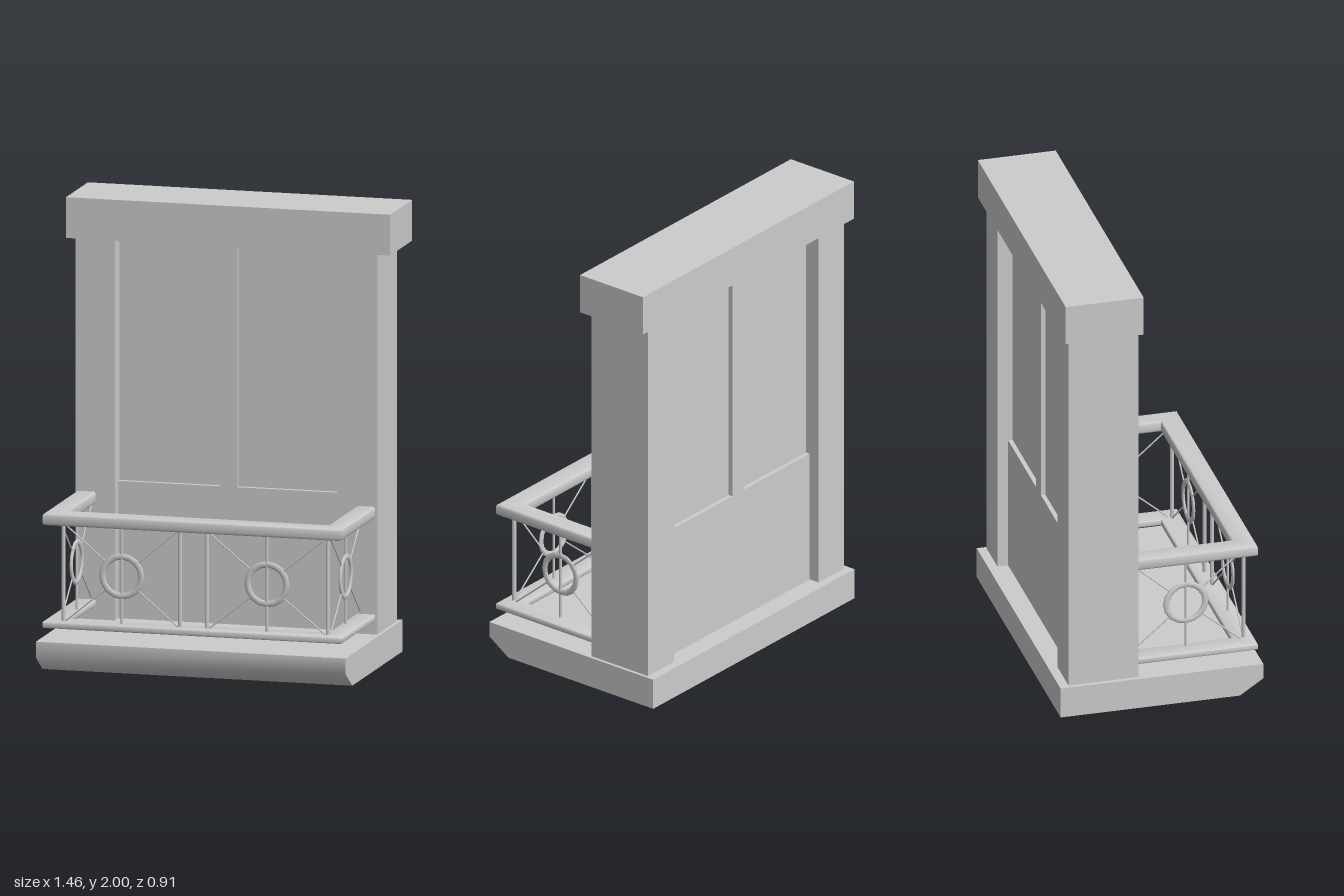
import * as THREE from 'three';
import { toCreasedNormals } from 'three/addons/utils/BufferGeometryUtils.js';

const material = new THREE.MeshStandardMaterial({ color: 0xcccccc });

function add(parent, name, geometry) {
  const mesh = new THREE.Mesh(geometry, material);
  mesh.name = name;
  parent.add(mesh);
  return mesh;
}

// Box given by its limits on each axis
function block(parent, name, x0, x1, y0, y1, z0, z1) {
  const mesh = add(parent, name, new THREE.BoxGeometry(x1 - x0, y1 - y0, z1 - z0));
  mesh.position.set((x0 + x1) / 2, (y0 + y1) / 2, (z0 + z1) / 2);
  return mesh;
}

// Round bar between two points
function bar(parent, name, a, b, radius) {
  const from = new THREE.Vector3(...a), to = new THREE.Vector3(...b);
  const dir = to.clone().sub(from);
  const mesh = add(parent, name, new THREE.CylinderGeometry(radius, radius, dir.length(), 8));
  mesh.position.copy(from).add(to).multiplyScalar(0.5);
  mesh.quaternion.setFromUnitVectors(new THREE.Vector3(0, 1, 0), dir.normalize());
  return mesh;
}

// U-shaped handrail with softened edges, open towards the wall
function rail(parent, name, y0, y1) {
  const r = (y1 - y0) * 0.2;
  const shape = new THREE.Shape([
    [-0.688 + r, 0.1], [-0.688 + r, -0.438 + r], [0.658 - r, -0.438 + r], [0.658 - r, 0.1],
    [0.572 + r, 0.1], [0.572 + r, -0.342 - r], [-0.6 - r, -0.342 - r], [-0.6 - r, 0.1],
  ].map(p => new THREE.Vector2(...p)));
  const geometry = new THREE.ExtrudeGeometry(shape, {
    depth: y1 - y0 - 2 * r, bevelThickness: r, bevelSize: r, bevelSegments: 2,
  });
  geometry.rotateX(-Math.PI / 2).translate(0, y0 + r, 0);
  add(parent, name, toCreasedNormals(geometry, 0.9));
}

const LOW = 0.22, HIGH = 0.66, MID = 0.437, RING = 0.088;

// Railing panel of a given half width: ring, upright through it, four diagonals
function ringPanel(half) {
  const panel = new THREE.Group();
  panel.name = 'ringPanel';
  const ring = add(panel, 'ring', new THREE.TorusGeometry(RING, 0.014, 8, 16));
  ring.position.y = MID;
  ring.scale.z = 0.5;
  bar(panel, 'centreBar', [0, LOW, 0], [0, HIGH, 0], 0.006);
  for (const sx of [-1, 1]) {
    for (const y of [LOW, HIGH]) {
      const corner = new THREE.Vector2(sx * half, y - MID);
      const inner = corner.clone().setLength(RING);
      bar(panel, 'diagonal', [corner.x, y, 0], [inner.x, inner.y + MID, 0], 0.0035);
    }
  }
  return panel;
}

export function createModel() {
  const model = new THREE.Group();
  model.name = 'balconyWindow';

  // Floor slab with a chamfer under its front edge
  const profile = new THREE.Shape([
    [-0.455, 0], [0.35, 0], [0.455, 0.07], [0.455, 0.14], [-0.455, 0.14],
  ].map(p => new THREE.Vector2(...p)));
  const slab = new THREE.ExtrudeGeometry(profile, { depth: 1.395, bevelEnabled: false });
  slab.rotateY(-Math.PI / 2).translate(0.682, 0, 0);
  add(model, 'floorSlab', toCreasedNormals(slab, 1.05));

  // Surround
  block(model, 'rightPillar', -0.692, -0.513, 0.14, 1.82, -0.414, -0.1);
  block(model, 'leftPillar', 0.487, 0.668, 0.14, 1.82, -0.414, -0.1);
  block(model, 'lintel', -0.73, 0.73, 1.82, 2, -0.437, -0.087);

  // Lower panel, mullion and the slightly recessed panes
  block(model, 'lowerPanel', -0.513, 0.487, 0.14, 0.747, -0.366, -0.152);
  block(model, 'mullion', -0.055, 0.023, 0.747, 1.82, -0.366, -0.152);
  block(model, 'rightPane', -0.513, -0.055, 0.747, 1.82, -0.346, -0.174);
  block(model, 'leftPane', 0.023, 0.487, 0.747, 1.82, -0.346, -0.174);

  // Railing
  const railing = new THREE.Group();
  railing.name = 'railing';
  model.add(railing);
  rail(railing, 'topRail', 0.652, 0.704);
  rail(railing, 'bottomRail', 0.198, 0.228);
  for (const x of [-0.605, -0.08, 0.04, 0.585]) {
    bar(railing, 'post', [x, LOW, 0.395], [x, HIGH, 0.395], 0.009);
  }
  for (const [x, half] of [[-0.343, 0.262], [0.311, 0.272]]) {
    const panel = ringPanel(half);
    panel.position.set(x, 0, 0.395);
    railing.add(panel);
  }
  for (const x of [-0.62, 0.592]) {
    const panel = ringPanel(0.255);
    panel.rotation.y = Math.PI / 2;
    panel.position.set(x, 0, 0.132);
    railing.add(panel);
  }
  return model;
}
